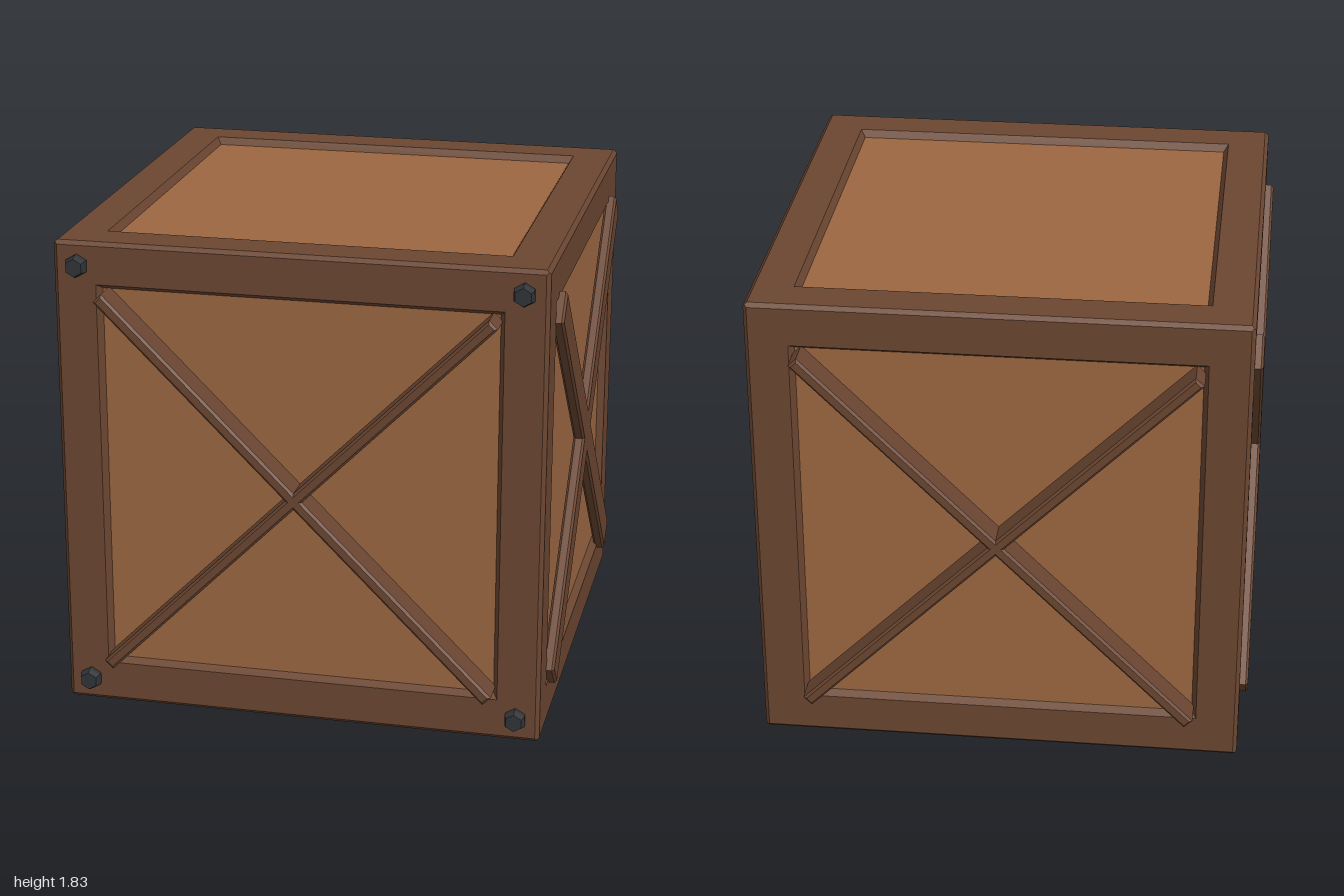
import * as THREE from 'three';

const HALF = 0.915;   // half of the cube's edge
const CHAMFER = 0.015;
const wood = new THREE.MeshStandardMaterial({ color: 0x6b4631, flatShading: true });
const board = new THREE.MeshStandardMaterial({ color: 0x9c6741, flatShading: true });
const iron = new THREE.MeshStandardMaterial({ color: 0x303437, flatShading: true });

function mesh(name, geometry, material) {
  const m = new THREE.Mesh(geometry, material);
  m.name = name;
  return m;
}

// Box with chamfered edges, centred on the origin
function chamferBox(w, h, d, c) {
  const x = w / 2 - c, y = h / 2 - c;
  const shape = new THREE.Shape([
    new THREE.Vector2(-x, -y), new THREE.Vector2(x, -y),
    new THREE.Vector2(x, y), new THREE.Vector2(-x, y),
  ]);
  return new THREE.ExtrudeGeometry(shape, {
    depth: d - 2 * c, bevelEnabled: true, bevelSize: c, bevelThickness: c, bevelSegments: 1,
  }).translate(0, 0, c - d / 2);
}

// One cube face, looking along +z: chamfered frame with a recessed panel
function createFace() {
  const face = new THREE.Group();
  const profile = [
    [HALF - CHAMFER / 2, HALF - CHAMFER / 2], // meets the neighbouring face
    [HALF - CHAMFER, HALF],
    [0.755, HALF],
    [0.737, HALF - 0.028],
  ].map(([half, out]) => new THREE.Vector2(half * Math.SQRT2, out));
  const frame = new THREE.LatheGeometry(profile, 4, Math.PI / 4).rotateX(Math.PI / 2);
  const panel = new THREE.PlaneGeometry(1.474, 1.474).translate(0, 0, HALF - 0.028);
  face.add(mesh('frame', frame, wood), mesh('panel', panel, board));
  return face;
}

// Two diagonal bars; width lies in the face, depth points out of it
function createCross(width, depth, centre) {
  const cross = new THREE.Group();
  cross.name = 'crossBrace';
  for (const sign of [-1, 1]) {
    const bar = mesh('braceBar', chamferBox(2.06, width, depth, 0.009), wood);
    bar.rotation.z = sign * Math.PI / 4;
    bar.position.z = centre;
    cross.add(bar);
  }
  return cross;
}

export function createModel() {
  const crate = new THREE.Group();
  crate.name = 'crate';
  const body = new THREE.Group();
  body.name = 'body';
  body.position.y = HALF;
  crate.add(body);

  // Four upright sides: narrow, deep braces on front and back, flat wide ones left and right
  ['front', 'left', 'back', 'right'].forEach((side, i) => {
    const face = createFace();
    face.name = side + 'Side';
    face.rotation.y = i * Math.PI / 2;
    face.add(i % 2 ? createCross(0.132, 0.045, 0.923) : createCross(0.045, 0.132, 0.934));
    body.add(face);
  });

  // Lid and base
  for (const [name, turn] of [['lid', -1], ['base', 1]]) {
    const face = createFace();
    face.name = name;
    face.rotation.x = turn * Math.PI / 2;
    body.add(face);
  }

  // Tapered hexagonal bolts on the front corners
  const head = new THREE.LatheGeometry([
    new THREE.Vector2(0.043, -0.02), new THREE.Vector2(0.043, 0.02),
    new THREE.Vector2(0.034, 0.042), new THREE.Vector2(0, 0.042),
  ], 6).rotateX(Math.PI / 2);
  for (const x of [-0.825, 0.825]) {
    for (const y of [-0.825, 0.825]) {
      const bolt = mesh('bolt', head, iron);
      bolt.position.set(x, y, HALF);
      body.add(bolt);
    }
  }
  return crate;
}
